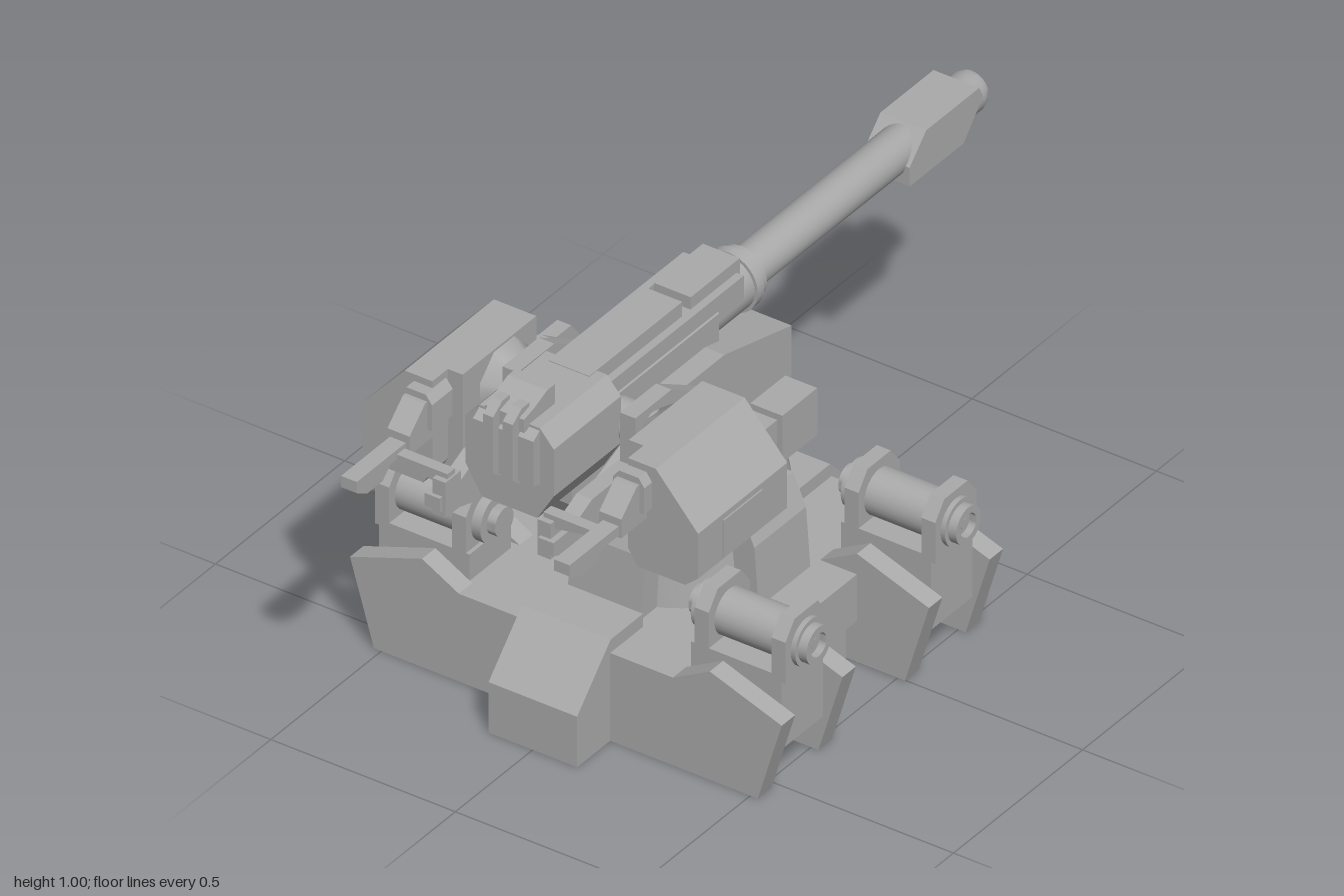
import * as THREE from 'three';
import { toCreasedNormals } from 'three/addons/utils/BufferGeometryUtils.js';

const steel = new THREE.MeshStandardMaterial({ color: 0xaaaaaa });
steel.name = 'grey steel';

export function createModel() {
  const model = new THREE.Group();
  model.name = 'gunTurret';

  const add = (name, geo) => {
    const mesh = new THREE.Mesh(geo, steel);
    mesh.name = name;
    model.add(mesh);
    return mesh;
  };
  // box from its min/max ranges
  const box = (name, [x0, x1], [y0, y1], [z0, z1]) =>
    add(name, new THREE.BoxGeometry(Math.abs(x1 - x0), y1 - y0, z1 - z0)
      .translate((x0 + x1) / 2, (y0 + y1) / 2, (z0 + z1) / 2));
  const extrude = (pts, depth) => new THREE.ExtrudeGeometry(
    new THREE.Shape(pts.map(p => new THREE.Vector2(p[0], p[1]))), { depth, bevelEnabled: false });
  // [x, y] outline running along z
  const alongZ = (name, pts, z0, z1) => add(name, extrude(pts, z1 - z0).translate(0, 0, z0));
  // [z, y] outline running along x
  const alongX = (name, pts, a, b) =>
    add(name, extrude(pts, Math.abs(b - a)).rotateY(-Math.PI / 2).translate(Math.max(a, b), 0, 0));
  // turned part with crisp edges, from [radius, height] points
  const turned = (pts, sides = 32) => toCreasedNormals(
    new THREE.LatheGeometry(pts.map(p => new THREE.Vector2(p[0], p[1])), sides), 0.6);
  const flipX = (pts, s) => pts.map(([x, y]) => [s * x, y]);

  const MID = 0.145; // centre of the base along z

  // Base: deck, four ribbed cross plates, ramps at both ends
  alongZ('deck', [[-0.36, 0], [0.36, 0], [0.36, 0.075], [0.39, 0.11], [0.39, 0.235],
    [-0.39, 0.235], [-0.39, 0.11], [-0.36, 0.075]], -0.27, 0.56);
  const rib = [[0.52, 0], [0.585, 0.22], [0.39, 0.29], [0.29, 0.235]];
  const ribOutline = [...rib, ...flipX(rib, -1).reverse()];
  for (const z of [-0.285, -0.05, 0.285, 0.52]) alongZ('crossPlate', ribOutline, z, z + 0.052);
  for (const s of [1, -1]) {
    const ramp = [[0.30, 0], [0.555, 0], [0.555, 0.135], [0.425, 0.27], [0.30, 0.27]];
    alongX('endRamp', ramp.map(([z, y]) => [MID + s * z, y]), -0.12, 0.12);
  }

  // Corner anchors: bracket, two lugs and a drum
  for (const s of [1, -1]) for (const z of [0.436, -0.144]) {
    const w = 0.08, yc = 0.363;
    box('anchorBracket', [s * 0.30, s * 0.545], [0.11, 0.305], [z - w, z + w]);
    const lug = [[z - w, 0.29], [z - w, 0.40], [z - 0.045, 0.445], [z + 0.045, 0.445],
      [z + w, 0.40], [z + w, 0.29]];
    alongX('anchorLug', lug, s * 0.31, s * 0.348);
    alongX('anchorLug', lug, s * 0.518, s * 0.556);
    const drum = turned([[0, 0.262], [0.036, 0.262], [0.036, 0.285], [0.06, 0.285], [0.06, 0.31],
      [0.058, 0.348], [0.058, 0.518], [0.06, 0.556], [0.06, 0.568], [0.048, 0.568], [0.048, 0.59],
      [0.03, 0.59], [0.03, 0.572], [0.012, 0.572], [0.012, 0.58], [0, 0.58]], 24);
    add('anchorDrum', drum.rotateZ(-s * Math.PI / 2).translate(0, yc, z));
  }

  // Pedestal with four flared fins
  add('pedestal', turned([[0.25, 0.23], [0.235, 0.41], [0.25, 0.43], [0.24, 0.475], [0, 0.475]], 48)
    .translate(0, 0, MID - 0.01));
  for (let i = 0; i < 4; i++) {
    const fin = alongX('pedestalFin', [[0.15, 0.23], [0.287, 0.23], [0.275, 0.39], [0.24, 0.47], [0.15, 0.47]], -0.1, 0.1);
    fin.position.z = MID - 0.01;
    fin.rotation.y = i * Math.PI / 2;
  }

  // Turret body
  alongX('turretBody', [[0.585, 0.60], [0.40, 0.475], [-0.105, 0.475], [-0.105, 0.745],
    [0.155, 0.81], [0.35, 0.81], [0.40, 0.70], [0.56, 0.64]], -0.138, 0.138);
  alongX('frontSlopePlate', [[0.61, 0.64], [0.56, 0.535], [0.45, 0.535], [0.45, 0.64]], -0.085, 0.085);
  box('cradleFoot', [-0.05, 0.05], [0.63, 0.71], [0.40, 0.62]);

  for (const s of [1, -1]) {
    // Side lockers and cheeks
    box('sideLocker', [s * 0.13, s * 0.225], [0.50, 0.625], [0.075, 0.21]);
    box('sideLocker', [s * 0.13, s * 0.225], [0.50, 0.625], [-0.08, 0.055]);
    alongX('cheek', [[0.25, 0.62], [0.36, 0.58], [0.55, 0.58], [0.60, 0.66], [0.56, 0.75],
      [0.56, 0.88], [0.42, 0.88], [0.25, 0.78]], s * 0.138, s * 0.18);
    add('trunnion', new THREE.CylinderGeometry(0.05, 0.05, 0.20, 24)
      .rotateZ(Math.PI / 2).translate(s * 0.18, 0.81, 0.49));
    add('trunnionCollar', new THREE.CylinderGeometry(0.07, 0.105, 0.05, 8, 1, false, Math.PI / 8)
      .rotateZ(s * Math.PI / 2).translate(s * 0.205, 0.79, 0.49));
    alongX('podMount', [[0.50, 0.80], [0.31, 0.80], [0.235, 0.75], [0.235, 0.67], [0.37, 0.60], [0.50, 0.60]],
      s * 0.18, s * 0.25);

    // Side pod with tapered nose
    const pod = [[0.225, 0.89], [0.34, 0.89], [0.455, 0.76], [0.455, 0.64], [0.42, 0.61], [0.265, 0.61], [0.225, 0.65]];
    alongZ('sidePod', flipX(pod, s), 0.365, 0.65);
    alongZ('sidePodNose', flipX([[0.265, 0.89], [0.34, 0.89], [0.455, 0.76], [0.455, 0.64],
      [0.42, 0.61], [0.29, 0.61], [0.265, 0.65]], s), 0.65, 0.71);
    box('podPanel', [s * 0.452, s * 0.459], [0.645, 0.745], [0.465, 0.615]);

    // Sight box and blade on the pod front
    alongZ('sightBox', flipX([[0.245, 0.78], [0.33, 0.78], [0.33, 0.85], [0.315, 0.872], [0.262, 0.872], [0.245, 0.85]], s), 0.66, 0.74);
    alongX('sightBarrel', [[0.66, 0.75], [0.81, 0.75], [0.81, 0.80], [0.75, 0.855], [0.66, 0.855]], s * 0.257, s * 0.317);
    alongX('sightBlade', [[0.79, 0.78], [1.0, 0.78], [1.0, 0.75], [0.96, 0.727], [0.90, 0.727],
      [0.87, 0.755], [0.79, 0.755]], s * 0.267, s * 0.31);

    // Linkage from the sight to the cradle
    alongZ('linkBar', flipX([[0.13, 0.745], [0.16, 0.735], [0.275, 0.755], [0.275, 0.768], [0.13, 0.768]], s), 0.815, 0.845);
    box('linkPost', [s * 0.125, s * 0.16], [0.66, 0.755], [0.80, 0.86]);
    alongX('linkArm', [[0.50, 0.62], [0.74, 0.635], [0.81, 0.655], [0.87, 0.68], [0.87, 0.715],
      [0.80, 0.715], [0.72, 0.75], [0.50, 0.75]], s * 0.133, s * 0.175);
  }

  // Gun: cradle, breech and top rails
  alongZ('gunCradle', [[-0.085, 0.75], [0.085, 0.75], [0.085, 0.87], [0.06, 0.90], [-0.06, 0.90], [-0.085, 0.87]], 0.10, 0.56);
  const half = [[0.075, 0.70], [0.12, 0.775], [0.12, 0.90], [0.082, 0.943]];
  alongZ('breech', [...half, ...flipX(half, -1).reverse()], 0.53, 0.79);
  alongX('breechBackPlate', [[0.78, 0.79], [0.815, 0.80], [0.815, 0.92], [0.78, 0.943]], -0.082, 0.082);
  box('topRail', [-0.055, 0.055], [0.88, 0.945], [0.20, 0.56]);
  box('topCover', [-0.05, 0.05], [0.87, 0.933], [-0.03, 0.16]);
  for (const s of [1, -1]) {
    box('sideRail', [s * 0.062, s * 0.082], [0.85, 0.915], [0.0, 0.54]);
    alongX('backRail', [[0.77, 0.79], [0.81, 0.79], [0.835, 0.81], [0.835, 0.96], [0.80, 0.985], [0.77, 0.985]],
      s * 0.013, s * 0.04);
  }
  alongX('rearSight', [[0.69, 0.93], [0.81, 0.93], [0.81, 0.965], [0.77, 0.975], [0.72, 0.995], [0.69, 0.995]], -0.053, 0.053);

  // Barrel with stepped sleeve and a bored muzzle, pointing back
  add('barrel', turned([[0, -0.50], [0.07, -0.50], [0.07, 0.06], [0.078, 0.06], [0.078, 0.085],
    [0.068, 0.085], [0.068, 0.11], [0.052, 0.11], [0.052, 0.98], [0.046, 1.0], [0.03, 1.0], [0.03, 0.93], [0, 0.93]])
    .rotateX(-Math.PI / 2).translate(0, 0.833, 0));
  alongX('muzzleBrake', [[-0.67, 0.775], [-0.67, 0.825], [-0.735, 0.89], [-0.94, 0.89], [-0.955, 0.86], [-0.88, 0.775]],
    -0.062, 0.062);

  return model;
}
